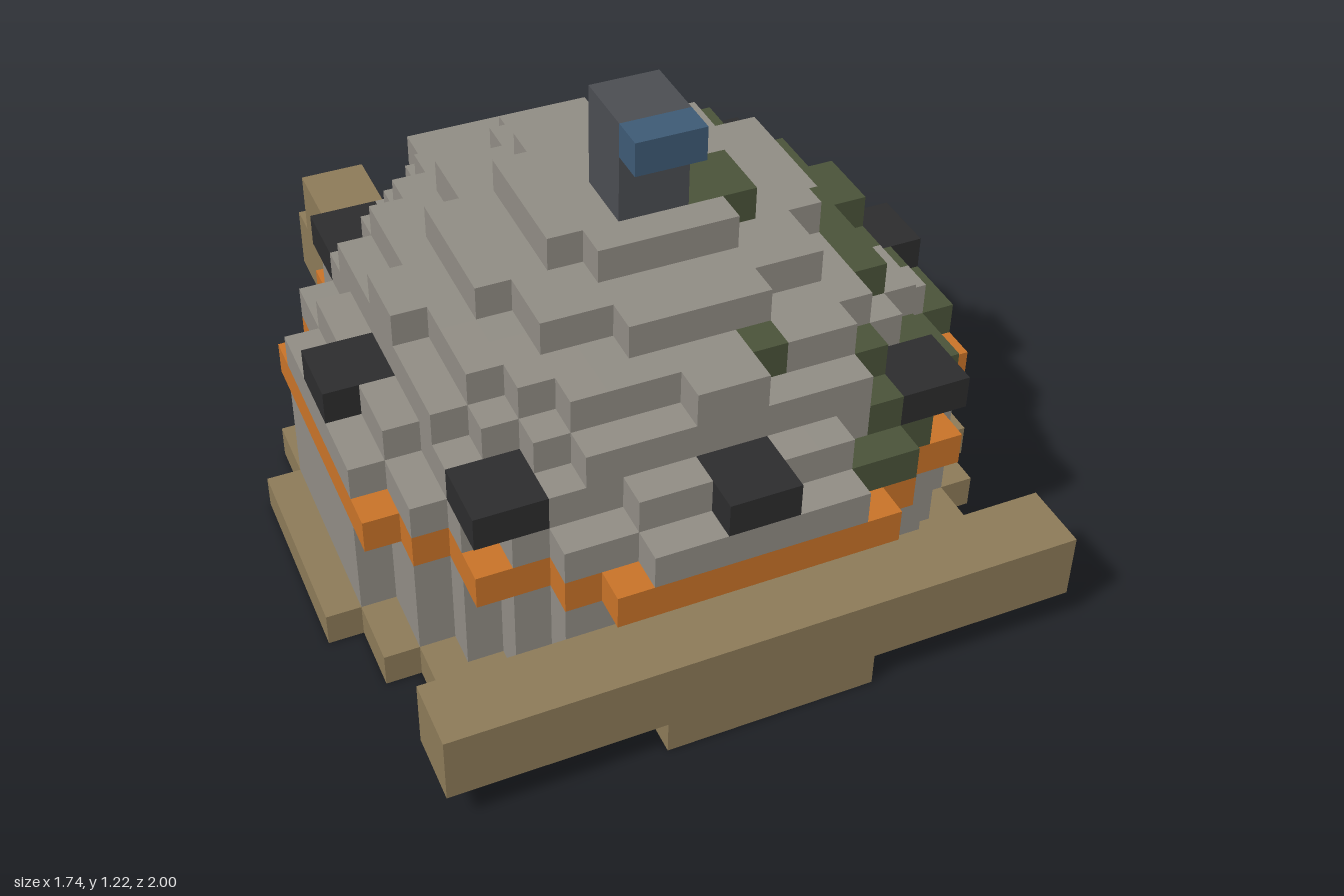
import * as THREE from 'three';

const S = 2 / 23;      // edge of one block
const OFFSET_Z = 1.5;  // the dome sits a little forward of the middle

const mat = (name, color) => {
  const m = new THREE.MeshStandardMaterial({ color });
  m.name = name;
  return m;
};

// The six faces of a block: outward normal and corners, counter-clockwise from outside
const FACES = [
  [[1, 0, 0], [[1, 0, 1], [1, 0, 0], [1, 1, 0], [1, 1, 1]]],
  [[-1, 0, 0], [[0, 0, 0], [0, 0, 1], [0, 1, 1], [0, 1, 0]]],
  [[0, 1, 0], [[0, 1, 1], [1, 1, 1], [1, 1, 0], [0, 1, 0]]],
  [[0, -1, 0], [[0, 0, 0], [1, 0, 0], [1, 0, 1], [0, 0, 1]]],
  [[0, 0, 1], [[0, 0, 1], [1, 0, 1], [1, 1, 1], [0, 1, 1]]],
  [[0, 0, -1], [[1, 0, 0], [0, 0, 0], [0, 1, 0], [1, 1, 0]]],
];

export function createModel() {
  const stone = mat('stone grey', 0x908c84);
  const tan = mat('sand tan', 0x8c7a58);
  const orange = mat('orange', 0xc87328);
  const black = mat('near black', 0x2c2c2d);
  const moss = mat('moss green', 0x4a5339);
  const iron = mat('iron grey', 0x4b4d52);
  const blue = mat('steel blue', 0x3d5a75);

  const partMaterials = {
    base: tan, wall: stone, trimBand: orange, dome: stone, mossPatches: moss, frontBarrier: tan,
    entranceWalls: tan, door: black, porchRoof: stone, windows: black, chimney: iron, chimneyCap: blue,
  };

  // Block grid: later parts replace earlier ones, so no faces overlap
  const blocks = new Map();
  const key = (x, y, z) => `${x},${y},${z}`;
  const box = (part, x0, x1, y0, y1, z0, z1) => {
    for (let x = x0; x < x1; x++)
      for (let y = y0; y < y1; y++)
        for (let z = z0; z < z1; z++) blocks.set(key(x, y, z), part);
  };
  const disc = (part, radius, y0, y1, zMax = 10) => {
    for (let x = -10; x < 10; x++)
      for (let z = -10; z < zMax; z++)
        if (Math.hypot(x + 0.5, z + 0.5) <= radius) box(part, x, x + 1, y0, y1, z, z + 1);
  };
  // Repaint existing dome blocks
  const grow = (y, x0, x1, z0, z1) => {
    for (let x = x0; x < x1; x++)
      for (let z = z0; z < z1; z++)
        if (blocks.get(key(x, y, z)) === 'dome') blocks.set(key(x, y, z), 'mossPatches');
  };

  // Round body
  disc('base', 10, 0, 1);
  disc('wall', 9, 1, 4, 8);
  disc('trimBand', 9.2, 4, 5);
  [9, 8, 7.5, 6.6, 5, 3].forEach((r, i) => disc('dome', r, 5 + i, 6 + i));

  // Moss on the left side: layer, x range, z range
  [
    [5, 3, 9, -8, -2], [5, 3, 9, -1, 8],
    [6, 2, 9, -8, -7], [6, 4, 9, -5, -2], [6, 4, 9, 1, 2], [6, 4, 9, 4, 5], [6, 4, 5, 5, 7],
    [7, 4, 8, -7, -2], [7, 4, 8, 0, 2], [7, 4, 8, 5, 6],
    [8, 6, 7, -1, 0], [8, 5, 7, 0, 4], [8, 4, 7, -5, -4], [8, 1, 2, 5, 6],
    [10, 1, 2, -3, 0], [10, 1, 3, 0, 2],
  ].forEach((patch) => grow(...patch));

  // Low barrier across the front
  box('frontBarrier', -9, 9, 1, 3, 8, 10);

  // Rear entrance
  box('door', -3, 3, 1, 6, -10, -9);
  box('porchRoof', -3, 3, 6, 7, -10, -8);
  for (const x of [-6, 4]) {
    box('entranceWalls', x, x + 2, 1, 5, -12, -7);
    box('entranceWalls', x, x + 2, 3, 4, -7, -6);
    box('entranceWalls', x, x + 2, 1, 3, -13, -12);
  }

  // Windows around the dome
  box('windows', -1, 1, 6, 7, 7, 9);
  for (const [x, z] of [[7, -1], [5, 5], [5, -7]]) {
    box('windows', x, x + 2, 6, 7, z, z + 2);
    box('windows', -x - 2, -x, 6, 7, z, z + 2);
  }

  // Chimney with a forward cap
  box('chimney', -1, 1, 11, 14, 0, 2);
  box('chimneyCap', -1, 1, 13, 14, 2, 3);

  // One mesh per part from the exposed block faces
  const group = new THREE.Group();
  group.name = 'domedBunker';
  for (const [part, material] of Object.entries(partMaterials)) {
    const positions = [], normals = [], index = [];
    for (const [k, owner] of blocks) {
      if (owner !== part) continue;
      const [x, y, z] = k.split(',').map(Number);
      for (const [n, corners] of FACES) {
        if (blocks.has(key(x + n[0], y + n[1], z + n[2]))) continue;
        const v = positions.length / 3;
        for (const c of corners) {
          positions.push((x + c[0]) * S, (y + c[1]) * S, (z + c[2] + OFFSET_Z) * S);
          normals.push(...n);
        }
        index.push(v, v + 1, v + 2, v, v + 2, v + 3);
      }
    }
    const geometry = new THREE.BufferGeometry();
    geometry.setAttribute('position', new THREE.Float32BufferAttribute(positions, 3));
    geometry.setAttribute('normal', new THREE.Float32BufferAttribute(normals, 3));
    geometry.setIndex(index);
    const mesh = new THREE.Mesh(geometry, material);
    mesh.name = part;
    group.add(mesh);
  }
  return group;
}
